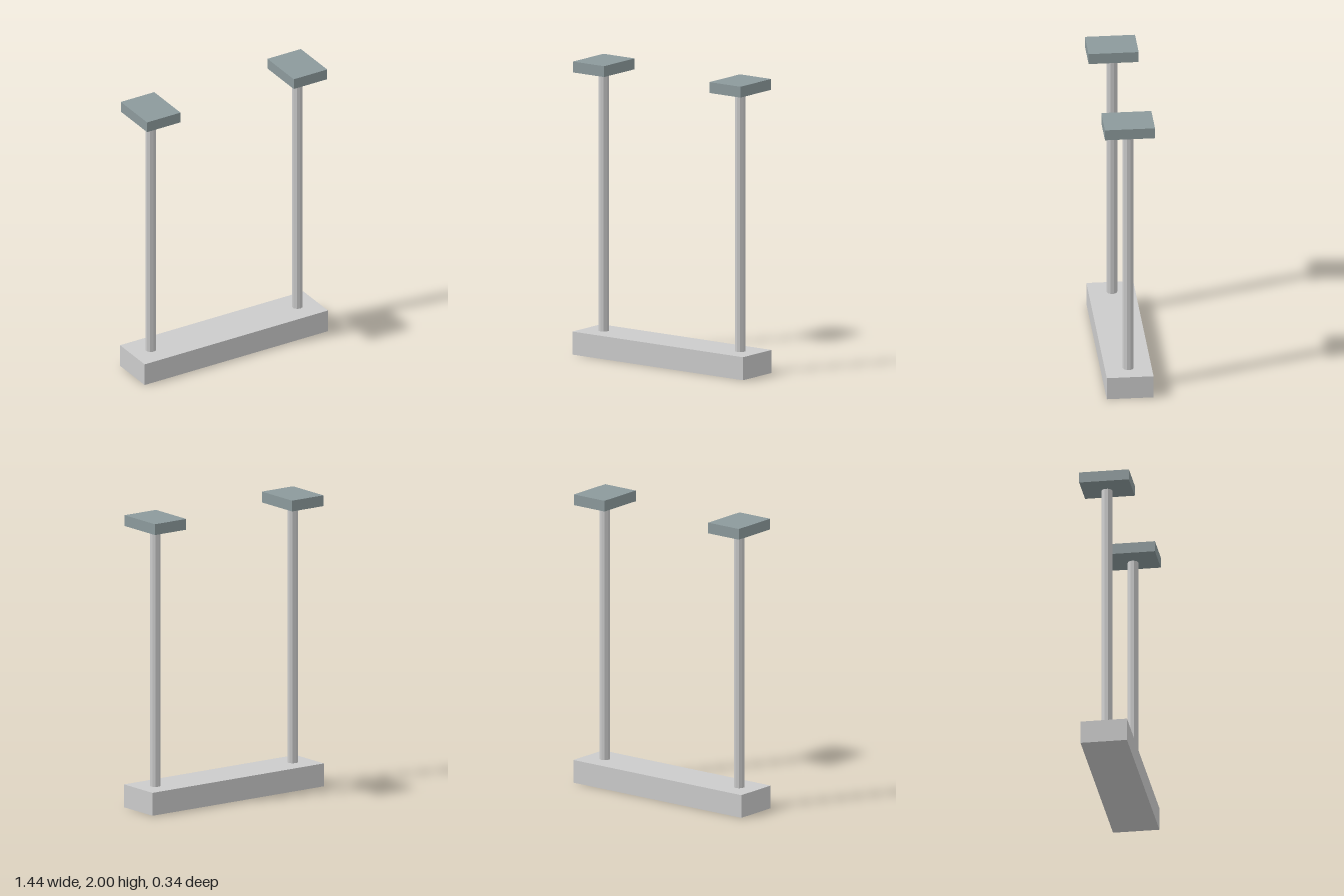
import * as THREE from 'three';

export function createModel() {
  const group = new THREE.Group();
  const grey = new THREE.MeshStandardMaterial({ color: 0xcccccc, flatShading: true });
  const dark = new THREE.MeshStandardMaterial({ color: 0x8c9a9c, flatShading: true });

  const add = (name, geometry, material, x, y) => {
    const mesh = new THREE.Mesh(geometry, material);
    mesh.name = name;
    mesh.position.set(x, y, 0);
    group.add(mesh);
  };

  // Long beam along the bottom
  const beamHeight = 0.157;
  add('beam', new THREE.BoxGeometry(1.437, beamHeight, 0.314), grey, 0, beamHeight / 2);

  // A faceted rod and a mounting block on each side, with a narrow gap between them
  const rodTop = 1.912, blockHeight = 0.074;
  const rodHeight = rodTop - beamHeight;
  for (const [side, s] of [['left', 1], ['right', -1]]) {
    add(`${side}Rod`, new THREE.CylinderGeometry(0.037, 0.037, rodHeight, 10), grey,
      s * 0.575, beamHeight + rodHeight / 2);
    add(`${side}MountingBlock`, new THREE.BoxGeometry(0.262, blockHeight, 0.336), dark,
      s * 0.575, 2 - blockHeight / 2);
  }
  return group;
}
